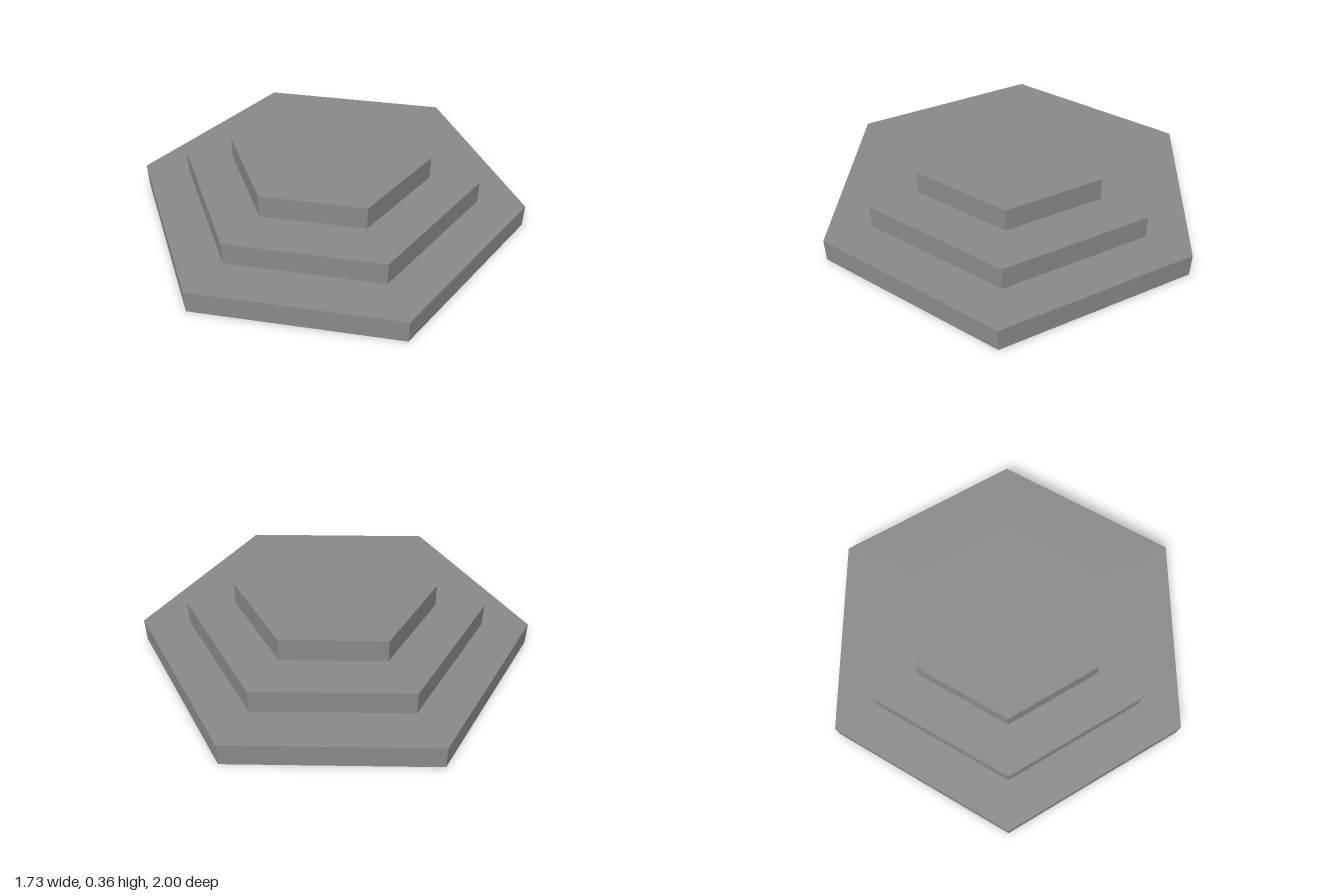
import * as THREE from 'three';

export function createModel() {
  const group = new THREE.Group();
  group.name = 'steppedHexagonalPlatform';

  const stone = new THREE.MeshStandardMaterial({
    color: 0x888a8c, flatShading: true, side: THREE.DoubleSide,
  });
  stone.name = 'stone grey';

  // Three hexagonal steps, each a wall and a top, open underneath
  const height = 0.12;
  const tiers = [['lowerStep', 1], ['middleStep', 0.76], ['upperStep', 0.51]];
  tiers.forEach(([name, radius], i) => {
    const step = new THREE.Group();
    step.name = name;
    step.position.y = i * height;

    const wall = new THREE.Mesh(
      new THREE.CylinderGeometry(radius, radius, height, 6, 1, true), stone);
    wall.name = name + 'Wall';
    wall.position.y = height / 2;

    // Turned so that a corner points to the front, like the wall
    const top = new THREE.Mesh(new THREE.CircleGeometry(radius, 6, Math.PI / 2), stone);
    top.name = name + 'Top';
    top.rotation.x = -Math.PI / 2;
    top.position.y = height;

    step.add(wall, top);
    group.add(step);
  });

  return group;
}
